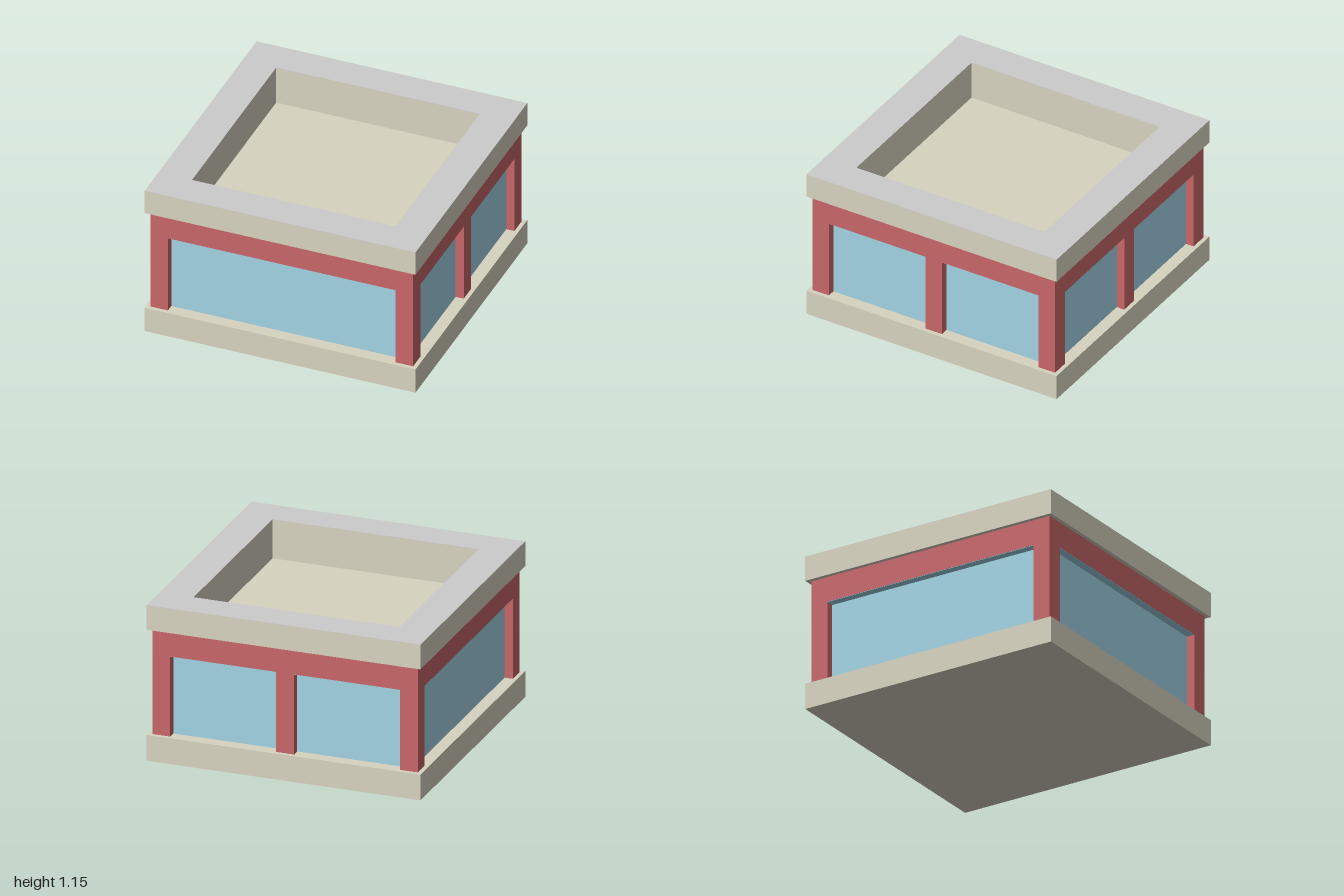
import * as THREE from 'three';

const paint = (color) => new THREE.MeshStandardMaterial({ color, flatShading: true });

// Square ring lying flat between heights y0 and y1
function ringGeometry(outer, inner, y0, y1) {
  const square = (r) => [[-r, -r], [r, -r], [r, r], [-r, r]].map(([x, y]) => new THREE.Vector2(x, y));
  const shape = new THREE.Shape(square(outer));
  shape.holes.push(new THREE.Path(square(inner).reverse()));
  return new THREE.ExtrudeGeometry(shape, { depth: y1 - y0, bevelEnabled: false })
    .rotateX(-Math.PI / 2)
    .translate(0, y0, 0);
}

// Box between heights y0 and y1, centred on (x, z)
function boxGeometry(w, d, y0, y1, x = 0, z = 0) {
  return new THREE.BoxGeometry(w, y1 - y0, d).translate(x, (y0 + y1) / 2, z);
}

export function createModel() {
  const model = new THREE.Group();
  const stone = paint(0xd7d3c0);
  const red = paint(0xc76668);
  const glass = paint(0xa2d3e5);
  const grey = paint(0xcccccc);

  const add = (name, geometry, material) => {
    const mesh = new THREE.Mesh(geometry, material);
    mesh.name = name;
    model.add(mesh);
  };

  const baseTop = 0.19, windowTop = 0.78, wallTop = 0.965, roofTop = 1.147;
  const deckTop = 0.86, pit = 0.752;

  // Base slab and recessed glazing
  add('baseSlab', boxGeometry(2, 2, 0, baseTop), stone);
  add('windows', boxGeometry(1.82, 1.82, baseTop, windowTop), glass);
  add('windowHeads', ringGeometry(0.968, 0.9, windowTop - 0.003, windowTop), glass);

  // Corner posts
  for (const x of [-1, 1]) {
    for (const z of [-1, 1]) {
      add('cornerPost', boxGeometry(0.13, 0.13, baseTop, windowTop, x * 0.905, z * 0.905), red);
    }
  }

  // Middle posts on the +x side and the back
  add('sideMiddlePost', boxGeometry(0.13, 0.13, baseTop, windowTop, 0.905, 0), red);
  add('backMiddlePost', boxGeometry(0.13, 0.13, baseTop, windowTop, 0, -0.905), red);

  // Wall band above the windows
  add('lintel', ringGeometry(0.97, 0.8, windowTop, wallTop), red);

  // Sunken roof with its lining and parapet
  add('roofDeck', boxGeometry(1.6, 1.6, windowTop, deckTop), stone);
  add('roofLining', ringGeometry(0.8, pit, deckTop, wallTop), stone);
  add('parapet', ringGeometry(1, pit, wallTop, roofTop - 0.002), stone);
  add('parapetCap', ringGeometry(1, pit, roofTop - 0.002, roofTop), grey);

  return model;
}
